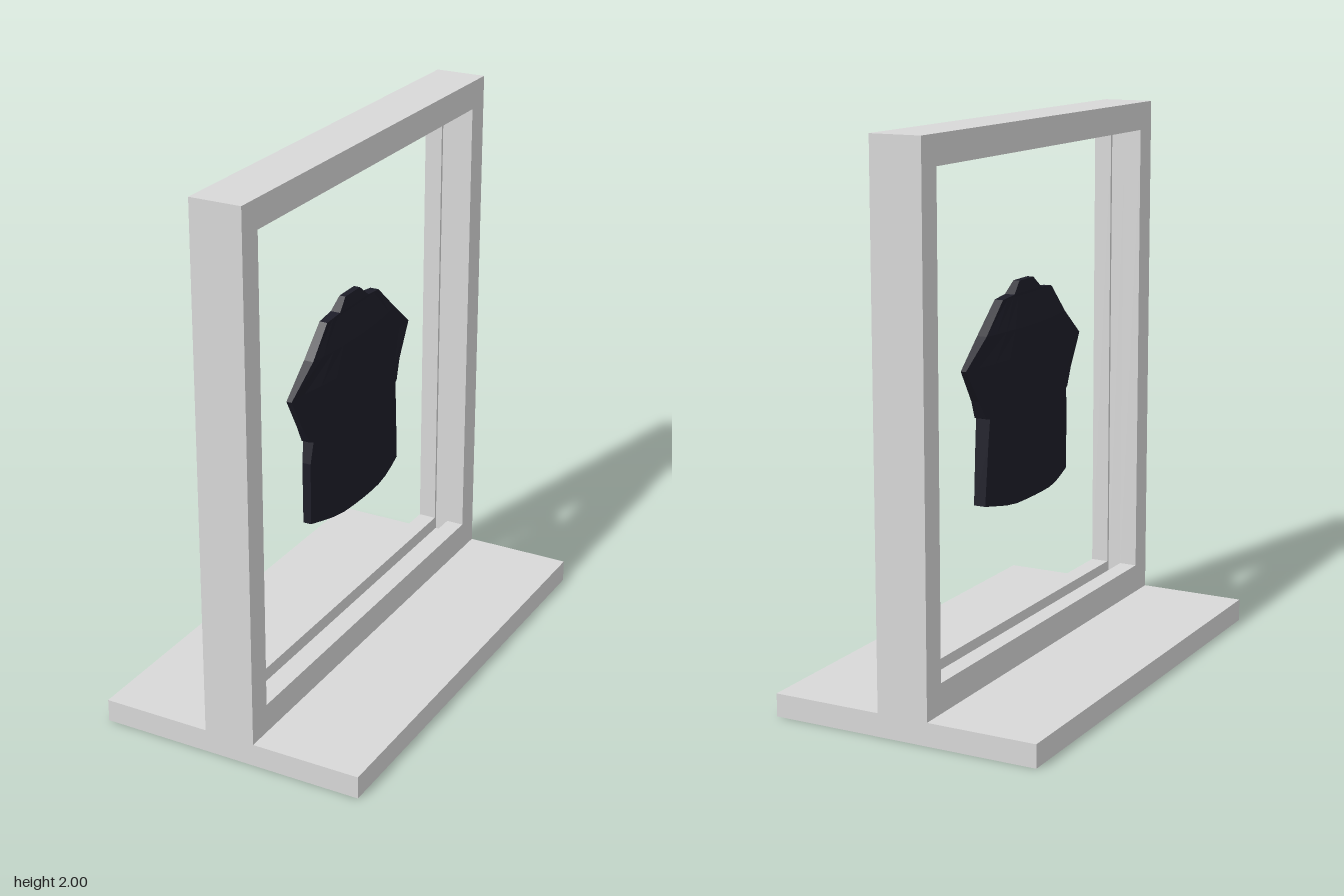
import * as THREE from 'three';

const frameGray = new THREE.MeshStandardMaterial({ color: 0xd8d8d8 });
frameGray.name = 'frame gray';
const darkCloth = new THREE.MeshStandardMaterial({ color: 0x1d1d28, flatShading: true });
darkCloth.name = 'dark cloth';

const BASE_TOP = 0.083;

// One upright slab of the frame: a rectangle with a rectangular opening, extruded along x
function frameLayer(name, x, depth, halfOpening, sill, head) {
  const rect = (Type, w, y0, y1) => {
    const p = new Type();
    p.moveTo(-w, y0);
    p.lineTo(w, y0);
    p.lineTo(w, y1);
    p.lineTo(-w, y1);
    p.closePath();
    return p;
  };
  const shape = rect(THREE.Shape, 0.857, BASE_TOP, 2);
  shape.holes.push(rect(THREE.Path, halfOpening, sill, head));
  const geo = new THREE.ExtrudeGeometry(shape, { depth, bevelEnabled: false });
  geo.rotateY(Math.PI / 2).translate(x, 0, 0);
  const mesh = new THREE.Mesh(geo, frameGray);
  mesh.name = name;
  return mesh;
}

// Shirt lofted from thin cross-sections that taper towards the side seams
function shirtGeometry() {
  // y, left edge z, right edge z, half thickness, middle x, drop of the middle
  const rows = [
    [0.671, 0.335, -0.3, 0.05, 0.014, 0.028],
    [0.9, 0.333, -0.285, 0.052, 0.012, 0],
    [0.978, 0.315, -0.28, 0.053, 0.01, 0],
    [0.983, 0.332, -0.297, 0.053, 0.01, 0],
    [1.05, 0.37, -0.338, 0.053, 0.008, 0],
    [1.17, 0.435, -0.425, 0.05, 0.005, 0],
    [1.27, 0.3, -0.295, 0.04, 0.005, 0],
    [1.378, 0.2, -0.17, 0.02, 0.007, 0],
    [1.386, 0.115, -0.09, 0.02, 0.007, 0],
    [1.428, 0.065, -0.04, 0.012, 0.007, 0],
  ];
  const M = 10; // columns across each face
  const N = 2 * (M + 1);
  const pos = [];
  const index = [];
  rows.forEach(([y, zl, zr, t, mid, drop]) => {
    for (let k = 0; k < N; k++) {
      const front = k <= M;
      const f = (front ? k : N - 1 - k) / M;
      const z = zl + (zr - zl) * f;
      const half = t * (1 - 0.8 * Math.min(1, Math.abs(z) / 0.36) ** 2);
      const sag = drop * Math.min(1, 4 * Math.min(f, 1 - f));
      pos.push(mid + (front ? half : -half), y - sag, z);
    }
  });
  for (let i = 0; i < rows.length - 1; i++) {
    for (let k = 0; k < N; k++) {
      const a = i * N + k;
      const b = i * N + ((k + 1) % N);
      index.push(a, b, b + N, a, b + N, a + N);
    }
  }
  // Hem and collar caps, bridged between the two faces of the cloth
  const top = (rows.length - 1) * N;
  for (let a = 0; a < M; a++) {
    const b = a + 1, c = N - 2 - a, d = N - 1 - a;
    index.push(a, c, b, a, d, c);
    index.push(top + a, top + b, top + c, top + a, top + c, top + d);
  }
  const geo = new THREE.BufferGeometry();
  geo.setAttribute('position', new THREE.Float32BufferAttribute(pos, 3));
  geo.setIndex(index);
  geo.computeVertexNormals();
  return geo;
}

export function createModel() {
  const model = new THREE.Group();
  model.name = 'shirtDisplay';

  // Flat foot
  const base = new THREE.Mesh(new THREE.BoxGeometry(0.998, BASE_TOP, 1.714), frameGray);
  base.name = 'base';
  base.position.y = BASE_TOP / 2;
  model.add(base);

  // Frame: two lips with a recessed groove between them
  const frame = new THREE.Group();
  frame.name = 'frame';
  frame.add(
    frameLayer('backLip', -0.095, 0.067, 0.764, 0.19, 1.897),
    frameLayer('groove', -0.028, 0.056, 0.775, 0.14, 1.947),
    frameLayer('frontLip', 0.028, 0.067, 0.764, 0.19, 1.897),
  );
  model.add(frame);

  // Shirt floating in the opening
  const shirt = new THREE.Mesh(shirtGeometry(), darkCloth);
  shirt.name = 'shirt';
  model.add(shirt);

  return model;
}
